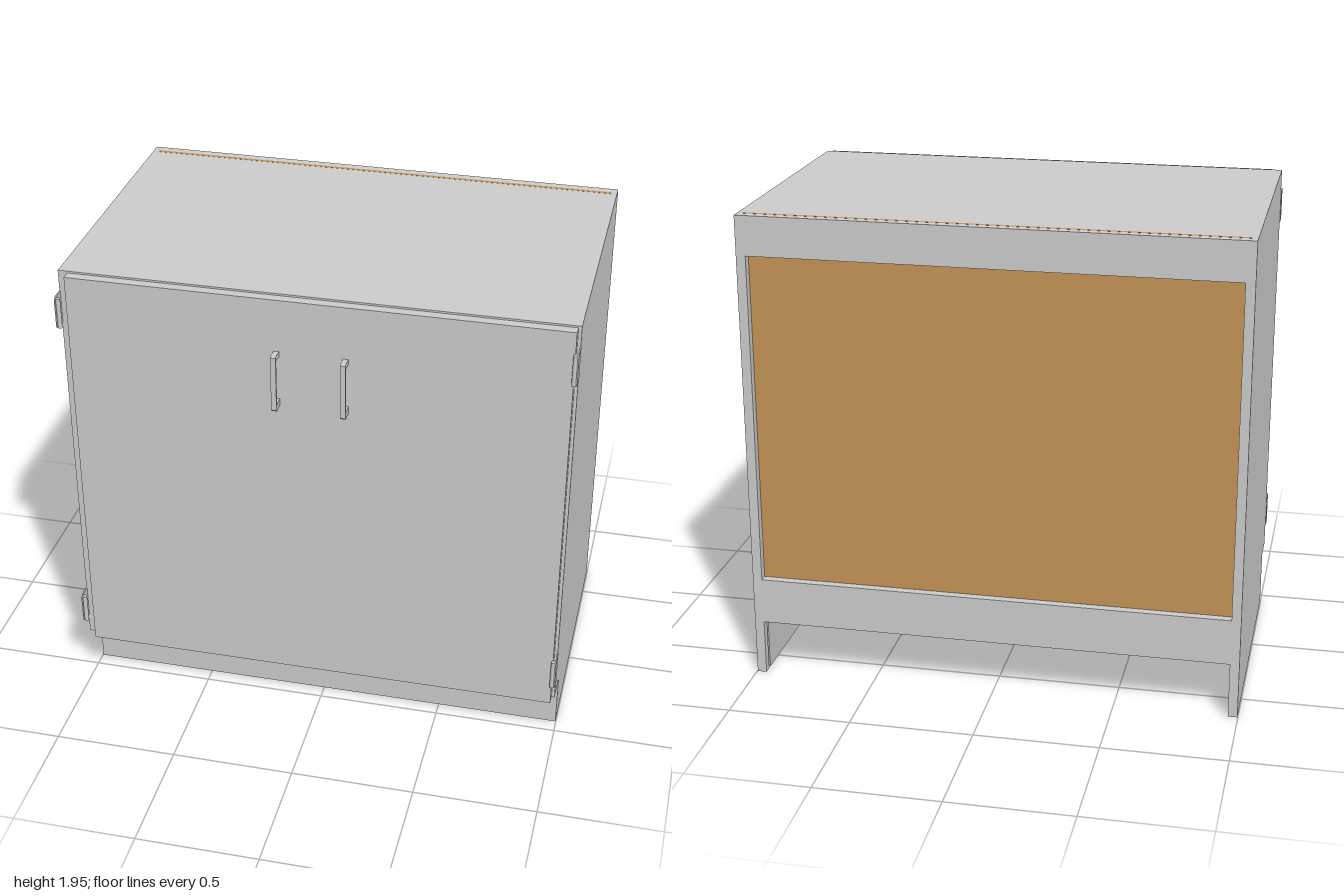
import * as THREE from 'three';

const grey = new THREE.MeshStandardMaterial({ color: 0xcccccc });
const brown = new THREE.MeshStandardMaterial({ color: 0xc49357 });

export function createModel() {
  const model = new THREE.Group();
  model.name = 'baseCabinet';

  const add = (name, geometry, material = grey) => {
    const mesh = new THREE.Mesh(geometry, material);
    mesh.name = name;
    model.add(mesh);
    return mesh;
  };
  // Box given by its limits on each axis
  const box = (name, [x0, x1], [y0, y1], [z0, z1], material) => {
    const mesh = add(name, new THREE.BoxGeometry(x1 - x0, y1 - y0, z1 - z0), material);
    mesh.position.set((x0 + x1) / 2, (y0 + y1) / 2, (z0 + z1) / 2);
    return mesh;
  };
  const shapeOf = (points) => new THREE.Shape(points.map(([a, b]) => new THREE.Vector2(a, b)));
  // Extrude a (z, y) profile to a given width centred on x
  const sideProfile = (name, points, width, x) => {
    const g = new THREE.ExtrudeGeometry(shapeOf(points), { depth: width, bevelEnabled: false });
    g.translate(0, 0, -width / 2);
    g.rotateY(-Math.PI / 2);
    return add(name, g).position.set(x, 0, 0);
  };

  const W = 0.998, inner = 0.96, groove = 0.975;
  const H = 1.945, kick = 0.23, board = 0.04;
  const back = -0.655, slot0 = -0.62, slot1 = -0.605, toe = 0.44, front = 0.565, doorFront = 0.605;

  // Side boards: grooved for the back panel, notched at the toe space
  for (const s of [-1, 1]) {
    const side = s < 0 ? 'right' : 'left';
    const plan = [
      [s * W, -back], [s * W, -toe], [s * inner, -toe], [s * inner, -slot1],
      [s * groove, -slot1], [s * groove, -slot0], [s * inner, -slot0], [s * inner, -back],
    ];
    const g = new THREE.ExtrudeGeometry(shapeOf(plan), { depth: H, bevelEnabled: false });
    g.rotateX(-Math.PI / 2);
    add(side + 'SideBoard', g);
    const xs = s < 0 ? [-W, -inner] : [inner, W];
    box(side + 'SideBoardFront', xs, [kick, H], [toe, front]);
  }

  // Horizontal boards and toe kick
  const span = [-inner, inner];
  box('topBoard', span, [H - board, H], [slot1, front]);
  box('floorBoard', span, [kick, kick + board], [slot1, front]);
  box('toeKick', span, [0, kick], [toe - board, toe]);

  // Back rails and the panel held in the groove
  box('upperBackRail', span, [1.785, H], [back, slot0]);
  box('lowerBackRail', span, [kick, 0.42], [back, slot0]);
  box('backPanel', [-groove, groove], [kick, H + 0.0005], [slot0, slot1], brown);

  // Pair of doors, meeting edge to edge
  box('rightDoor', [-0.96, 0.0125], [kick, 1.938], [front + 0.001, doorFront]);
  box('leftDoor', [0.0125, 0.985], [kick, 1.938], [front + 0.001, doorFront]);

  for (const s of [-1, 1]) {
    const side = s < 0 ? 'right' : 'left';

    // Bar handle with two feet
    const y0 = 1.49, y1 = 1.725;
    sideProfile(side + 'Handle', [
      [doorFront, y0], [0.65, y0 - 0.003], [0.657, y0 + 0.004], [0.657, y1 - 0.004],
      [0.65, y1], [doorFront, y1 - 0.003], [doorFront, y1 - 0.025], [0.647, y1 - 0.022],
      [0.647, y0 + 0.025], [doorFront, y0 + 0.028],
    ], 0.021, s * 0.134);

    // Hinges: thin leaf on the edge plus a knuckle in front
    for (const [level, a, b] of [['Upper', 1.72, 1.857], ['Lower', 0.318, 0.455]]) {
      sideProfile(side + level + 'HingeLeaf', [
        [front - 0.002, a], [0.61, a], [0.624, a + 0.01], [0.624, b - 0.01], [0.61, b], [front - 0.002, b],
      ], 0.005, s * 0.9975);
      const knuckle = add(side + level + 'HingeKnuckle', new THREE.CylinderGeometry(0.009, 0.009, b - a - 0.012, 12));
      knuckle.position.set(s * 0.987, (a + b) / 2, 0.616);
    }
  }

  return model;
}
